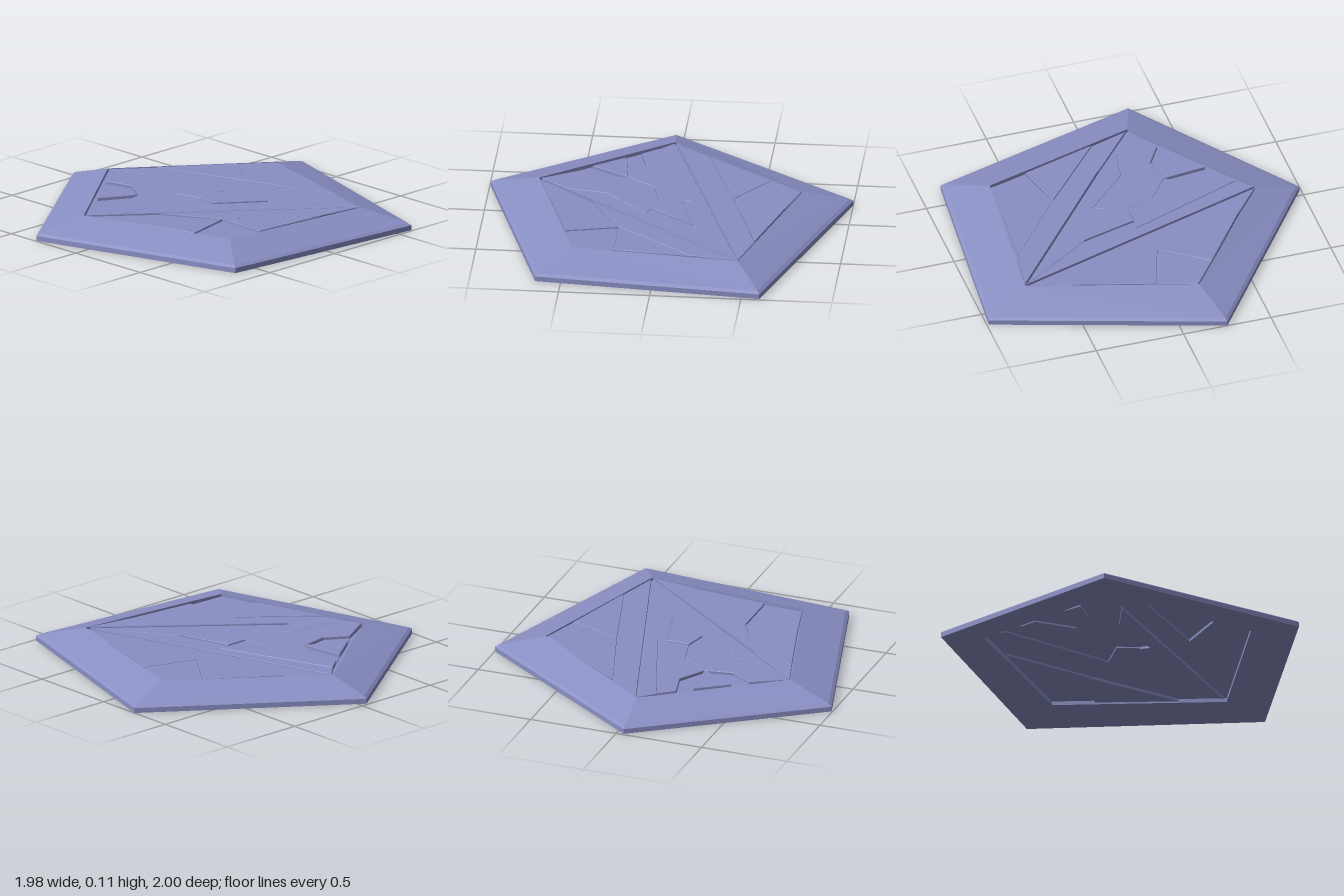
import * as THREE from 'three';

const material = new THREE.MeshStandardMaterial({ color: 0x8a8fc4, flatShading: true });

// Pentagon corners as [x, z], running clockwise seen from above
const OUTER = [[-0.25, -1], [0.99, -0.6], [0.875, 0.64], [-0.31, 0.995], [-0.99, 0.04]];
const INNER = [[-0.175, -0.73], [0.74, -0.46], [0.65, 0.46], [-0.22, 0.72], [-0.74, 0.02]];

// Closed band of quads swept through a list of rings of [x, y, z]
function loft(rings) {
  const pos = [];
  for (let r = 0; r < rings.length; r++) {
    const lo = rings[r], hi = rings[(r + 1) % rings.length];
    for (let i = 0; i < lo.length; i++) {
      const j = (i + 1) % lo.length;
      pos.push(...lo[i], ...hi[i], ...hi[j], ...lo[i], ...hi[j], ...lo[j]);
    }
  }
  const geo = new THREE.BufferGeometry();
  geo.setAttribute('position', new THREE.Float32BufferAttribute(pos, 3));
  geo.computeVertexNormals();
  return geo;
}

// Flat slab from a plan outline, with an optional chamfer
function slab(points, bottom, top, chamfer = 0) {
  const shape = new THREE.Shape(points.map(([x, z]) => new THREE.Vector2(x, -z)));
  const geo = new THREE.ExtrudeGeometry(shape, {
    depth: top - bottom - 2 * chamfer, bevelEnabled: chamfer > 0, bevelSegments: 1,
    bevelSize: chamfer, bevelThickness: chamfer, bevelOffset: -chamfer,
  });
  geo.rotateX(-Math.PI / 2);
  geo.translate(0, bottom + chamfer, 0);
  return geo;
}

function add(parent, name, geo) {
  const mesh = new THREE.Mesh(geo, material);
  mesh.name = name;
  parent.add(mesh);
}

// Plates of each sector: [bottom, top, outline]
const SECTORS = {
  backPlates: [
    [0.05, 0.105, [[-0.175, -0.73], [0.05, -0.66], [-0.05, -0.36], [-0.31, -0.55]]],
    [0.035, 0.108, [[0.05, -0.66], [0.5, -0.53], [-0.05, -0.36]]],
    [0.04, 0.107, [[-0.31, -0.55], [-0.05, -0.36], [-0.58, -0.18]]],
    [0.05, 0.104, [[-0.58, -0.18], [-0.05, -0.36], [0.5, -0.53], [0.74, -0.46], [-0.74, 0.02]]],
  ],
  middlePlates: [
    [0.04, 0.105, [[-0.74, 0.02], [0.74, -0.46], [0.32, -0.18], [0, -0.09], [0, -0.15], [-0.66, 0.1]]],
    [0.05, 0.107, [[-0.66, 0.1], [0, -0.15], [0, 0.04], [-0.16, 0.08], [-0.28, 0.24], [-0.43, 0.15], [-0.59, 0.19]]],
    [0.04, 0.09, [[-0.59, 0.19], [-0.43, 0.15], [-0.28, 0.24], [-0.53, 0.27]]],
    [0.05, 0.108, [[-0.53, 0.27], [-0.28, 0.24], [-0.4, 0.45]]],
    [0.04, 0.09, [[-0.4, 0.45], [-0.28, 0.24], [-0.25, 0.4], [-0.33, 0.53]]],
    [0.05, 0.106, [[-0.28, 0.24], [-0.16, 0.08], [0, 0.04], [0.13, 0.07], [0.18, 0.1], [-0.06, 0.34],
      [-0.1, 0.57], [-0.22, 0.72], [-0.33, 0.53], [-0.25, 0.4]]],
    [0.035, 0.105, [[0.13, 0.07], [0.32, -0.18], [0.74, -0.46], [-0.1, 0.57], [-0.06, 0.34], [0.18, 0.1]]],
    [0.04, 0.114, [[0, -0.09], [0.32, -0.18], [0.13, 0.07], [0, 0.04]]],
  ],
  leftPlates: [
    [0.05, 0.108, [[0.74, -0.46], [0.7, -0.2], [0.36, 0.23], [0.04, 0.41]]],
    [0.04, 0.105, [[0.7, -0.2], [0.66, 0.23], [0.36, 0.23]]],
    [0.035, 0.096, [[0.66, 0.23], [0.65, 0.46], [0.43, 0.52], [0.36, 0.23]]],
    [0.05, 0.105, [[0.36, 0.23], [0.43, 0.52], [0, 0.65]]],
    [0.04, 0.1, [[0.04, 0.41], [0.36, 0.23], [0, 0.65], [-0.22, 0.72]]],
  ],
};

export function createModel() {
  const model = new THREE.Group();
  model.name = 'pentagonTile';

  // Sloping border with a short vertical edge
  const ring = (pts, y, s = 1) => pts.map(([x, z]) => [x * s, y, z * s]);
  add(model, 'rim', loft([
    ring(INNER, 0.03), ring(OUTER, 0), ring(OUTER, 0.028),
    ring(OUTER, 0.04, 0.98), ring(INNER, 0.106),
  ]));

  // Floor of the grooves
  add(model, 'core', slab(INNER, 0.052, 0.085));

  // Plates, each sector drawn in slightly to leave the wide grooves
  for (const [name, plates] of Object.entries(SECTORS)) {
    const sector = new THREE.Group();
    sector.name = name;
    const all = plates.flatMap((p) => p[2]);
    const cx = all.reduce((s, p) => s + p[0], 0) / all.length;
    const cz = all.reduce((s, p) => s + p[1], 0) / all.length;
    for (const [bottom, top, outline] of plates) {
      const drawn = outline.map(([x, z]) => [cx + (x - cx) * 0.975, cz + (z - cz) * 0.975]);
      add(sector, 'plate', slab(drawn, bottom, top, 0.003));
    }
    model.add(sector);
  }
  return model;
}
